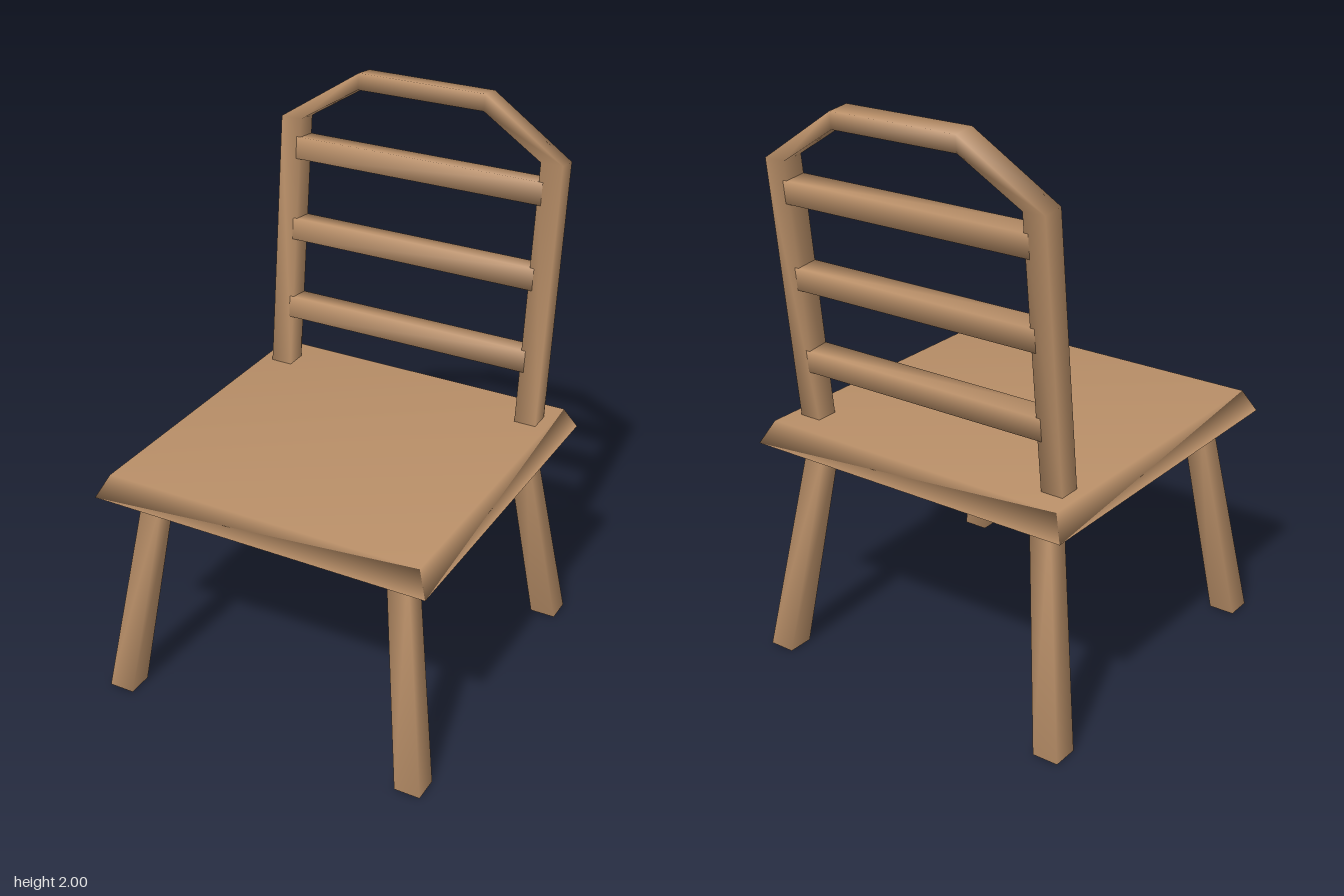
import * as THREE from 'three';
import { mergeVertices } from 'three/addons/utils/BufferGeometryUtils.js';

const wood = new THREE.MeshStandardMaterial({ color: 0xb98f68 });
wood.name = 'wood';

// Moves each vertex of a box by a rule, then shares corners for soft shading.
function shapedBox(name, geometry, rule) {
  const p = geometry.attributes.position;
  const v = new THREE.Vector3();
  for (let i = 0; i < p.count; i++) {
    rule(v.fromBufferAttribute(p, i));
    p.setXYZ(i, v.x, v.y, v.z);
  }
  geometry.deleteAttribute('normal');
  geometry.deleteAttribute('uv');
  const soft = mergeVertices(geometry, 1e-5);
  soft.computeVertexNormals();
  const mesh = new THREE.Mesh(soft, wood);
  mesh.name = name;
  return mesh;
}

export function createModel() {
  const chair = new THREE.Group();
  chair.name = 'chair';

  // Seat with bevelled rim
  chair.add(shapedBox('seat', new THREE.BoxGeometry(2, 2, 2), (v) => {
    const half = v.y > 0 ? 0.58 : 0.62;
    v.set(v.x * half, v.y > 0 ? 0.87 : 0.79, v.z * half);
  }));

  // Four splayed, slightly tapered legs
  for (const [x, xName] of [[1, 'Left'], [-1, 'Right']]) {
    for (const [z, zName] of [[1, 'front'], [-1, 'back']]) {
      chair.add(shapedBox(`${zName}${xName}Leg`, new THREE.BoxGeometry(2, 2, 2), (v) => {
        const centre = v.y > 0 ? 0.462 : 0.573;
        const half = v.y > 0 ? 0.039 : 0.047;
        v.set(x * centre + v.x * half, v.y > 0 ? 0.8 : 0, z * centre + v.z * half);
      }));
    }
  }

  // Backrest leans backwards from the seat
  const backrest = new THREE.Group();
  backrest.name = 'backrest';
  backrest.position.set(0, 0.87, -0.45);
  backrest.rotation.x = -0.11;

  // Posts and angular hoop as one bent bar: [outer x, outer y, inner x, inner y]
  const half = [[0.54, -0.005, 0.46, -0.005], [0.54, 0.936, 0.46, 0.936], [0.24, 1.132, 0.24, 1.073]];
  const stations = [...half.map(([a, b, c, d]) => [-a, b, -c, d]), ...half.slice().reverse()];
  backrest.add(shapedBox('backFrame', new THREE.BoxGeometry(5, 2, 2, 5, 1, 1), (v) => {
    const [ox, oy, ix, iy] = stations[Math.round(v.x + 2.5)];
    v.set(v.y > 0 ? ox : ix, v.y > 0 ? oy : iy, v.z * 0.04);
  }));

  // Three cross rails
  [0.226, 0.528, 0.83].forEach((y, i) => {
    const rail = shapedBox(`backRail${i + 1}`, new THREE.BoxGeometry(0.95, 0.08, 0.082), () => {});
    rail.position.y = y;
    backrest.add(rail);
  });
  chair.add(backrest);

  return chair;
}
